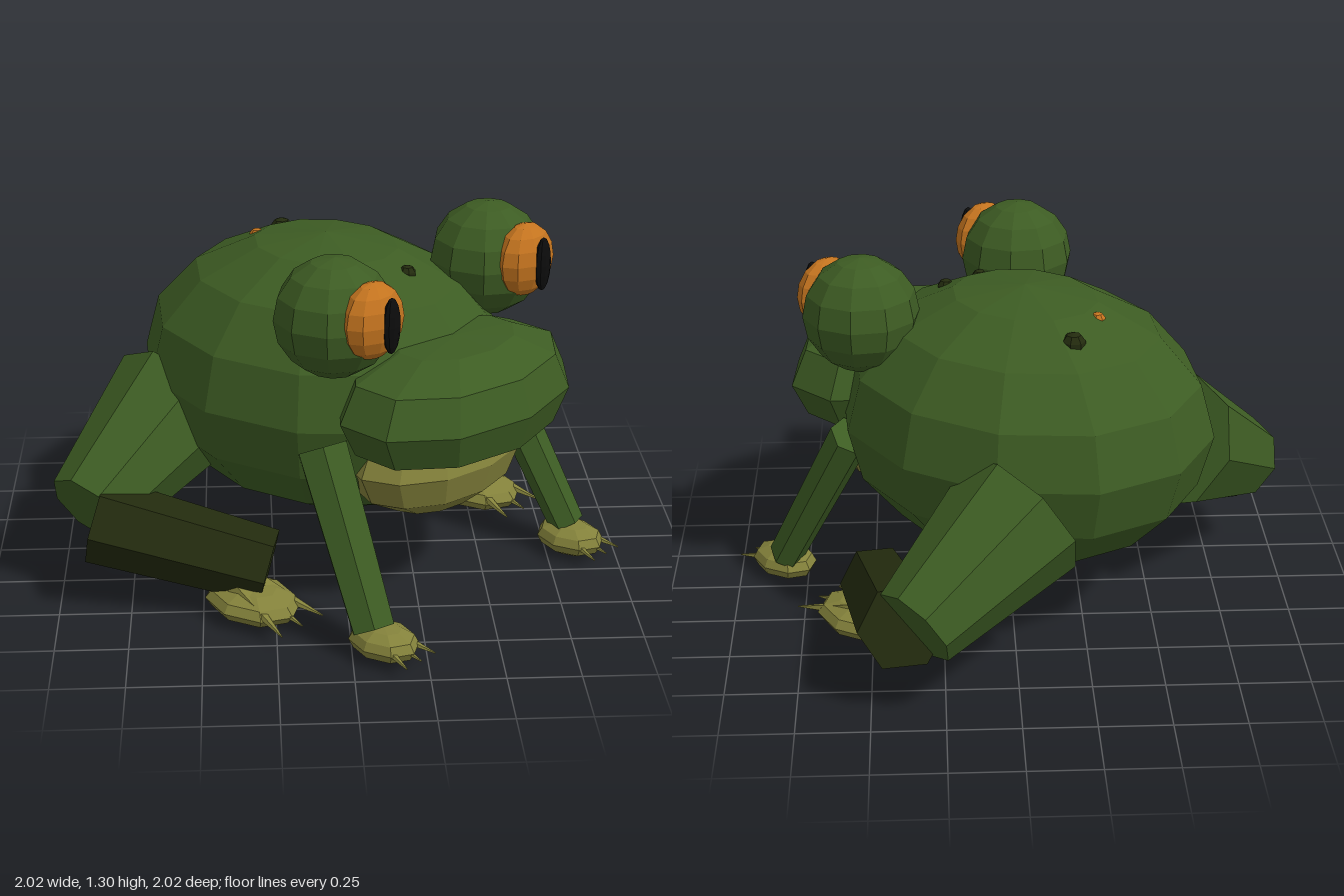
import * as THREE from 'three';

const mat = (name, color) => {
  const m = new THREE.MeshStandardMaterial({ color });
  m.name = name;
  return m;
};

export function createModel() {
  const green = mat('skin green', 0x3d5c23);
  const darkGreen = mat('dark green', 0x232b0e);
  const olive = mat('pale olive', 0x84823b);
  const orange = mat('iris orange', 0xc4741f);
  const black = mat('pupil black', 0x0c0c0c);

  // The frog is modelled facing +z, then turned to sit diagonally.
  const frog = new THREE.Group();
  frog.name = 'frog';
  const V = (x, y, z) => new THREE.Vector3(x, y, z);

  const add = (name, geometry, material, parent = frog) => {
    const g = geometry.toNonIndexed(); // faceted look
    g.computeVertexNormals();
    const mesh = new THREE.Mesh(g, material);
    mesh.name = name;
    parent.add(mesh);
    return mesh;
  };

  const ellipsoid = (name, material, c, r, seg = 10, rows = 8, parent = frog) => {
    const g = new THREE.SphereGeometry(1, seg, rows);
    g.scale(...r).translate(...c);
    return add(name, g, material, parent);
  };

  // Tapered prism from a to b; wide is the direction of its full width, flat squashes the other one
  const limb = (name, material, a, b, ra, rb, sides, wide = V(0, 0, 1), flat = 1, parent = frog) => {
    const axis = b.clone().sub(a);
    const g = new THREE.CylinderGeometry(rb, ra, axis.length(), sides);
    const Y = axis.normalize();
    const X = wide.clone().addScaledVector(Y, -wide.dot(Y)).normalize();
    const Z = X.clone().cross(Y).multiplyScalar(flat);
    const m = new THREE.Matrix4().makeBasis(X, Y, Z);
    m.setPosition(a.clone().add(b).multiplyScalar(0.5));
    return add(name, g.applyMatrix4(m), material, parent);
  };

  // Foot pad with three pointed toes; rise is the height where the toes meet the ankle
  const foot = (name, x, z, w, len, reach, rise) => {
    const group = new THREE.Group();
    group.name = name;
    group.position.set(x, 0, z);
    ellipsoid('pad', olive, [0, 0.06, 0], [w, 0.06, len], 8, 6, group);
    for (const k of [-1, 0, 1]) {
      const tip = V(k * w * 0.72, 0.045, reach);
      limb('toe', olive, V(k * w * 0.25, rise, -len * 0.2), tip, w * 0.3, 0.003, 5, V(1, 0, 0), 0.8, group);
    }
    frog.add(group);
  };

  // Body and chin
  const bc = [0, 0.705, -0.07], br = [0.61, 0.495, 0.71];
  ellipsoid('body', green, bc, br, 12, 8);
  ellipsoid('chin', olive, [0, 0.535, 0.445], [0.385, 0.215, 0.25], 12, 6);

  // Broad mouth with blunt top and bottom
  const lip = [[0, -0.2], [0.5, -0.19], [0.87, -0.125], [1, 0], [0.87, 0.125], [0.5, 0.2], [0, 0.21]];
  const mouth = new THREE.LatheGeometry(lip.map(([r, y]) => new THREE.Vector2(r, y)), 10);
  mouth.scale(0.5, 1, 0.325).translate(0, 0.76, 0.53);
  add('mouth', mouth, green);

  // Nostrils and back spots sit on the body surface
  const spots = [
    ['nostril', darkGreen, 0.045, 0.27, 0.032],
    ['nostril', darkGreen, -0.14, 0.28, 0.03],
    ['wart', darkGreen, 0.12, -0.4, 0.043],
    ['backSpot', orange, -0.05, -0.36, 0.028],
  ];
  for (const [name, m, x, z, r] of spots) {
    const d = 1 - (x / br[0]) ** 2 - ((z - bc[2]) / br[2]) ** 2;
    const y = bc[1] + br[1] * Math.sqrt(d) - 0.016 - r * 0.3;
    ellipsoid(name, m, [x, y, z], [r, r, r], 7, 5);
  }

  for (const s of [1, -1]) {
    const side = s > 0 ? 'left' : 'right';

    // Eyes
    ellipsoid(side + 'Eye', green, [s * 0.4, 1.1, 0.335], [0.205, 0.205, 0.205], 10, 8);
    ellipsoid(side + 'Iris', orange, [s * 0.4, 1.13, 0.503], [0.125, 0.131, 0.083], 10, 8);
    ellipsoid(side + 'Pupil', black, [s * 0.398, 1.13, 0.583], [0.035, 0.097, 0.024], 10, 8);

    // Front leg, flattened across a diagonal
    limb(side + 'FrontLeg', green, V(s * 0.465, 0.65, 0.34), V(s * 0.535, 0.1, 0.635),
      0.095, 0.08, 6, V(-s, 0, 1), 0.8);
    foot(side + 'FrontFoot', s * 0.518, 0.665, 0.1, 0.135, 0.165, 0.085);

    // Hind leg folded at the knee
    limb(side + 'Thigh', green, V(s * 0.4, 0.58, -0.42), V(s * 0.88, 0.33, -0.385), 0.255, 0.155, 8);
    limb(side + 'Shin', darkGreen, V(s * 0.885, 0.31, -0.335), V(s * 0.535, 0.165, 0.155),
      0.152, 0.13, 6, V(0, 1, 0));
    foot(side + 'HindFoot', s * 0.61, 0.145, 0.14, 0.19, 0.235, 0.11);
  }

  frog.rotation.y = Math.PI / 4;
  const model = new THREE.Group();
  model.add(frog);
  return model;
}
